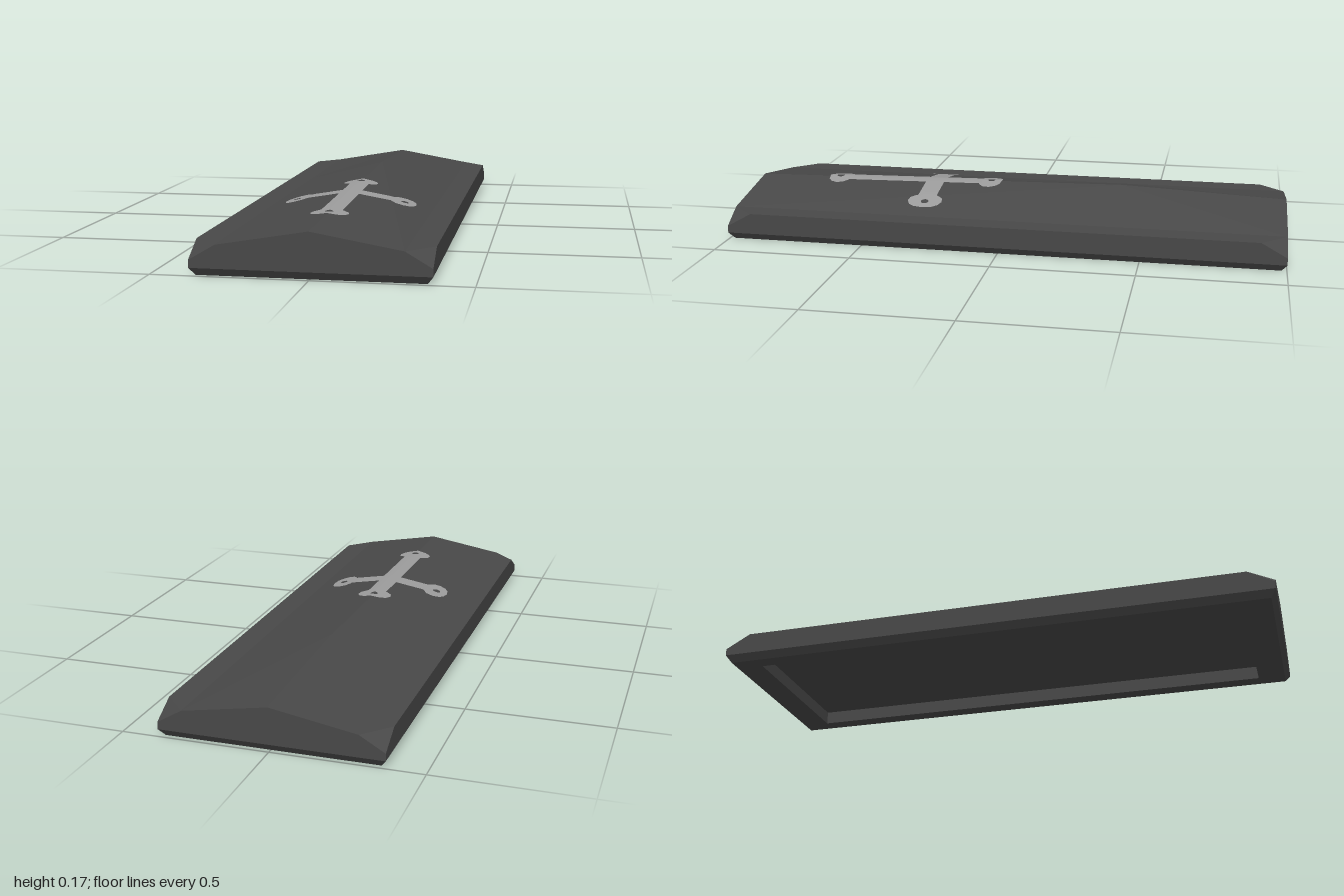
import * as THREE from 'three';

const PEAK_Z = -0.4;

// Builds a flat-faced geometry from convex polygons
function facets(polys) {
  const pos = [];
  for (const p of polys)
    for (let i = 1; i < p.length - 1; i++) pos.push(...p[0], ...p[i], ...p[i + 1]);
  const g = new THREE.BufferGeometry();
  g.setAttribute('position', new THREE.Float32BufferAttribute(pos, 3));
  g.computeVertexNormals();
  return g;
}

// One quarter of the lid, from the peak to one end; sx and sz mirror it
function quarter(sx, sz) {
  const at = (x, y, z = null) => [sx * x, y, z === null ? PEAK_Z : sz * z];
  const peak = at(0, 0.175), ridgeEnd = at(0, 0.15, 1);
  const eaveMid = at(0.29, 0.1), eaveEnd = at(0.29, 0.1, 1);
  const sideMid = at(0.375, 0.1), sideEnd = at(0.375, 0.1, 0.91);
  const corner = at(0.375, 0.05, 1);
  const low = [at(0.375, 0.025), at(0.375, 0.025, 1), at(0, 0.025, 1)];
  const foot = [at(0.357, 0), at(0.357, 0, 0.982), at(0, 0, 0.982)];
  const rim = [at(0.3, 0), at(0.3, 0, 0.885), at(0, 0, 0.885)];
  const ceil = [at(0.3, 0.048), at(0.3, 0.048, 0.885), at(0, 0.048, 0.885)];

  // Wraps a band along the long side and the end
  const band = (a, b) => [[a[0], a[1], b[1], b[0]], [a[1], a[2], b[2], b[1]]];

  const polys = [
    sz > 0 ? [peak, ridgeEnd, eaveEnd, eaveMid] : [ridgeEnd, eaveEnd, eaveMid, peak],
    [eaveMid, eaveEnd, sideEnd, sideMid],            // flat edge strip
    [eaveEnd, corner, sideEnd],                      // cut corner
    [sideMid, sideEnd, corner, low[1], low[0]],      // long side
    [ridgeEnd, low[2], low[1], corner, eaveEnd],     // end gable
    ...band(low, foot),                              // lower bevel
    ...band(foot, rim),                              // bottom rim
    ...band(rim, ceil),                              // recess walls
    [ceil[0], ceil[1], ceil[2], at(0, 0.048)],       // recess ceiling
  ];
  return sx * sz < 0 ? polys.map((p) => p.reverse()) : polys;
}

// Roof height on the front half
function roofY(x, z) {
  const ax = Math.abs(x);
  return Math.min(
    0.15 + 0.025 * (1 - z) / 1.4 - ax * 0.05 / 0.29,
    0.1 + (1 - ax / 0.29) * 0.075
  );
}

// Lays a flat geometry just above the roof
function drape(g) {
  const p = g.attributes.position;
  for (let i = 0; i < p.count; i++) p.setY(i, roofY(p.getX(i), p.getZ(i)) + 0.004);
  g.computeVertexNormals();
  return g;
}

function bar(w, d, x, z, nx, nz) {
  return drape(new THREE.PlaneGeometry(w, d, nx, nz).rotateX(-Math.PI / 2).translate(x, 0, z));
}

// Budded tip with a small hole, pointing along +x before turning
function finial(x, z, turn) {
  const radii = [0.042, 0.042, 0.05, 0.058, 0.064, 0.065, 0.058, 0.052, 0.05];
  const g = new THREE.RingGeometry(0.014, 1, 16, 1);
  const p = g.attributes.position;
  for (let i = 17; i < p.count; i++) {
    const k = (i - 17) % 16, r = radii[k > 8 ? 16 - k : k], a = k * Math.PI / 8;
    p.setXY(i, r * Math.cos(a), r * Math.sin(a));
  }
  return drape(g.rotateX(-Math.PI / 2).rotateY(turn).translate(x, 0, z));
}

export function createModel() {
  const model = new THREE.Group();
  model.name = 'coffinLid';
  const dark = new THREE.MeshStandardMaterial({ color: 0x484848 });
  dark.name = 'darkGrey';
  const pale = new THREE.MeshStandardMaterial({ color: 0x9c9c9c });
  pale.name = 'paleGrey';

  const add = (parent, name, geometry, material) => {
    const m = new THREE.Mesh(geometry, material);
    m.name = name;
    parent.add(m);
  };

  // Lid shell
  const polys = [];
  for (const sx of [1, -1]) for (const sz of [1, -1]) polys.push(...quarter(sx, sz));
  add(model, 'lid', facets(polys), dark);

  // Cross inlay on the roof
  const cross = new THREE.Group();
  cross.name = 'cross';
  model.add(cross);
  add(cross, 'crossShaft', bar(0.07, 0.53, 0, 0.39, 2, 8), pale);
  add(cross, 'crossHead', finial(0, 0.092, Math.PI / 2), pale);
  add(cross, 'crossFoot', finial(0, 0.688, -Math.PI / 2), pale);
  for (const s of [1, -1]) {
    const side = s > 0 ? 'left' : 'right';
    add(cross, side + 'CrossArm', bar(0.125, 0.07, s * 0.0975, 0.305, 6, 2), pale);
    add(cross, side + 'CrossTip', finial(s * 0.193, 0.305, s > 0 ? 0 : Math.PI), pale);
  }
  return model;
}
